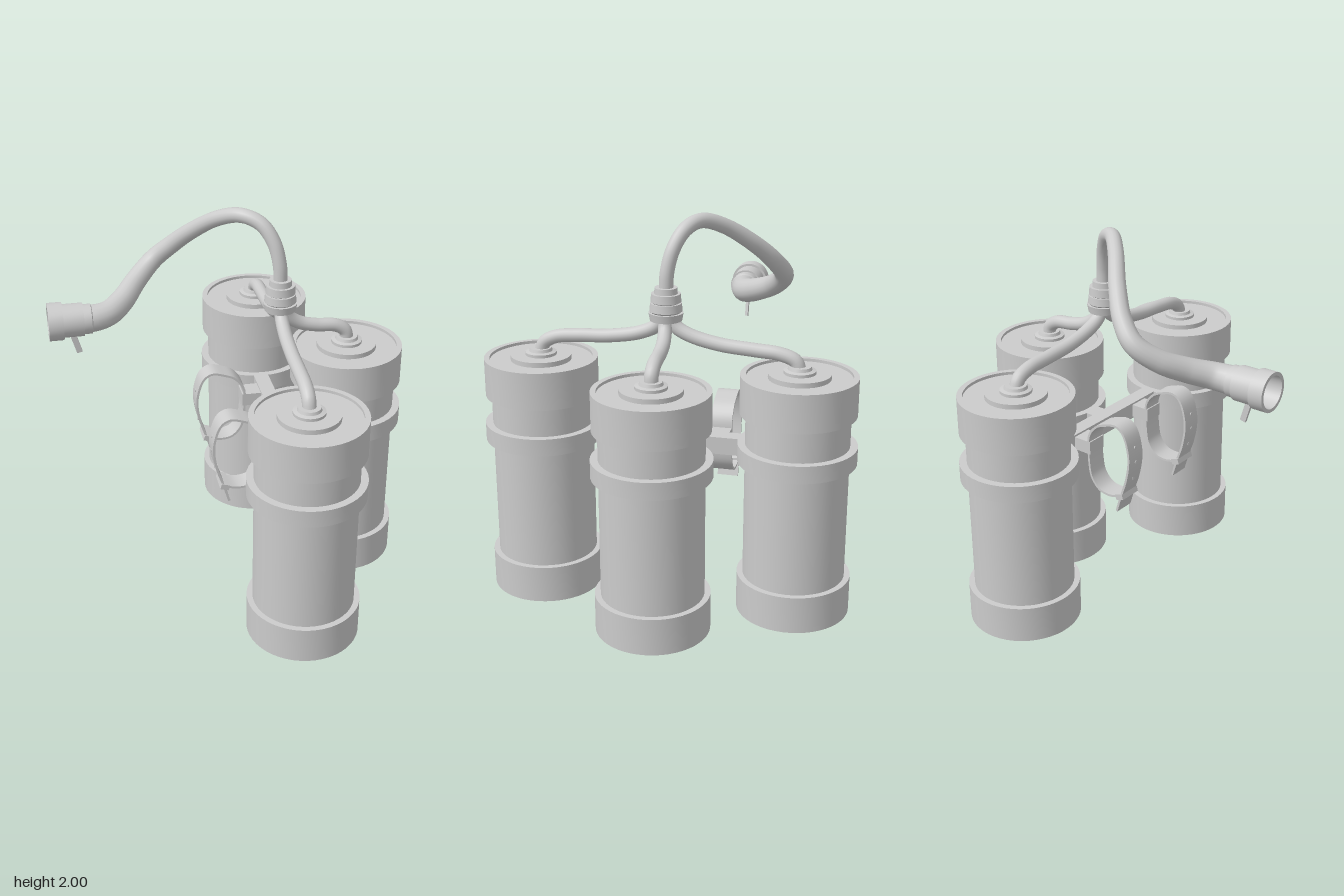
import * as THREE from 'three';
import { toCreasedNormals } from 'three/addons/utils/BufferGeometryUtils.js';

const material = new THREE.MeshStandardMaterial({ color: 0xcccccc });
const doubleSided = new THREE.MeshStandardMaterial({ color: 0xcccccc, side: THREE.DoubleSide });

function add(parent, name, geometry, x = 0, y = 0, z = 0, mat = material) {
  const mesh = new THREE.Mesh(geometry, mat);
  mesh.name = name;
  mesh.position.set(x, y, z);
  parent.add(mesh);
  return mesh;
}

const vec2 = (pts) => pts.map(([x, y]) => new THREE.Vector2(x, y));
const vec3 = (pts) => pts.map((p) => new THREE.Vector3(...p));

// Turned part with sharp profile corners and a smooth round surface
const turned = (pts, sides = 48) => toCreasedNormals(new THREE.LatheGeometry(vec2(pts), sides), 0.5);

// Tube along a curve whose radius follows a rule
function hose(pts, radiusAt, segments) {
  const path = new THREE.CatmullRomCurve3(vec3(pts));
  const sides = 16;
  const geo = new THREE.TubeGeometry(path, segments, 1, sides, false);
  const pos = geo.attributes.position;
  const v = new THREE.Vector3();
  for (let i = 0; i <= segments; i++) {
    const centre = path.getPointAt(i / segments);
    const r = radiusAt(i / segments);
    for (let j = 0; j <= sides; j++) {
      const k = i * (sides + 1) + j;
      v.fromBufferAttribute(pos, k).sub(centre).multiplyScalar(r).add(centre);
      pos.setXYZ(k, v.x, v.y, v.z);
    }
  }
  return geo;
}

// Flat band that follows a curve in the xy plane, with its width along z
function ribbon(pts, thickness, width, steps) {
  const curve = new THREE.SplineCurve(vec2(pts));
  const outer = [], inner = [];
  for (let i = 0; i <= steps; i++) {
    const p = curve.getPoint(i / steps), t = curve.getTangent(i / steps);
    const n = new THREE.Vector2(-t.y, t.x).multiplyScalar(thickness / 2);
    outer.push(p.clone().add(n));
    inner.unshift(p.clone().sub(n));
  }
  const geo = new THREE.ExtrudeGeometry(new THREE.Shape([...outer, ...inner]), { depth: width, bevelEnabled: false });
  return toCreasedNormals(geo.translate(0, 0, -width / 2), 0.6);
}

// Canister: body, end caps with raised rims, stepped lid and clamp band
function canister(name, x, z, lift) {
  const g = new THREE.Group();
  g.name = name;
  g.position.set(x, lift, z);
  add(g, 'canisterBody', turned([[0.26, 0.19], [0.26, 1.07]]));
  add(g, 'bottomCap', turned([[0, 0.02], [0.265, 0.02], [0.265, 0], [0.29, 0], [0.29, 0.195], [0.255, 0.195]]));
  add(g, 'topCap', turned([[0.255, 1.065], [0.29, 1.065], [0.29, 1.26], [0.262, 1.26], [0.262, 1.245],
    [0.155, 1.245], [0.155, 1.27], [0, 1.27]]));
  add(g, 'hoseCollar', turned([[0.08, 1.265], [0.08, 1.285], [0.06, 1.29], [0.055, 1.305], [0, 1.305]], 32));
  add(g, 'clampBand', turned([[0.255, 0.825], [0.298, 0.825], [0.298, 0.915], [0.255, 0.915]]), 0, -lift, 0);
  return g;
}

export function createModel() {
  const model = new THREE.Group();
  model.name = 'canisterRig';

  // Three canisters
  model.add(canister('frontCanister', 0.235, 0.667, 0));
  model.add(canister('leftCanister', 0.61, -0.015, 0));
  model.add(canister('backCanister', 0.257, -0.667, 0.012));

  // Frame joining the clamp bands
  add(model, 'crossBar', new THREE.BoxGeometry(0.08, 0.09, 0.78), 0.237, 0.87, 0);
  add(model, 'sideLink', new THREE.BoxGeometry(0.09, 0.09, 0.1), 0.305, 0.87, -0.015);

  // Shoulder straps with arm, buckle, tail and studs
  for (const [name, z] of [['frontStrap', 0.236], ['backStrap', -0.252]]) {
    const strap = new THREE.Group();
    strap.name = name;
    strap.position.z = z;
    model.add(strap);
    add(strap, 'strapArm', new THREE.BoxGeometry(0.12, 0.07, 0.11), 0.155, 0.87, 0);
    add(strap, 'strapLoop', ribbon([[0.105, 0.8], [0.105, 0.93], [0.06, 1.0], [0, 1.03], [-0.07, 1.045], [-0.12, 1.01],
      [-0.148, 0.93], [-0.153, 0.85], [-0.135, 0.75], [-0.105, 0.66], [-0.075, 0.56]], 0.012, 0.11, 50));
    add(strap, 'strapReturn', ribbon([[-0.1, 0.655], [-0.03, 0.637], [0.04, 0.65], [0.09, 0.71], [0.105, 0.8]],
      0.012, 0.11, 20));
    const buckle = add(strap, 'buckle', new THREE.BoxGeometry(0.045, 0.03, 0.125), -0.098, 0.652, 0);
    buckle.rotation.z = -0.3;
    for (const [x, y] of [[-0.148, 0.93], [-0.153, 0.85], [-0.135, 0.75]]) {
      const stud = add(strap, 'stud', new THREE.CylinderGeometry(0.009, 0.009, 0.018, 10), x, y, 0);
      stud.rotation.z = Math.PI / 2;
    }
  }

  // Branch hoses from the lids to the manifold
  const thin = () => 0.035;
  add(model, 'frontBranchHose', hose([[0.235, 1.28, 0.667], [0.235, 1.335, 0.645], [0.235, 1.37, 0.58], [0.235, 1.385, 0.46],
    [0.237, 1.395, 0.3], [0.24, 1.425, 0.14], [0.243, 1.47, 0.05], [0.245, 1.53, 0.015]], thin, 48), 0, 0, 0, doubleSided);
  add(model, 'backBranchHose', hose([[0.257, 1.29, -0.667], [0.257, 1.34, -0.645], [0.257, 1.37, -0.57], [0.255, 1.38, -0.45],
    [0.252, 1.395, -0.27], [0.25, 1.43, -0.12], [0.247, 1.47, -0.045], [0.245, 1.53, -0.005]], thin, 48), 0, 0, 0, doubleSided);
  add(model, 'leftBranchHose', hose([[0.61, 1.28, -0.015], [0.6, 1.335, -0.015], [0.55, 1.37, -0.015], [0.44, 1.385, -0.012],
    [0.35, 1.41, -0.008], [0.285, 1.46, 0], [0.255, 1.53, 0.005]], thin, 36), 0, 0, 0, doubleSided);

  // Stepped manifold
  add(model, 'manifold', turned([[0, 1.505], [0.07, 1.505], [0.08, 1.5], [0.087, 1.54], [0.073, 1.54], [0.082, 1.548], [0.078, 1.588],
    [0.066, 1.588], [0.076, 1.594], [0.073, 1.635], [0.058, 1.635], [0.056, 1.665], [0.035, 1.665]], 32), 0.245, 0, 0.005);

  // Main hose, widening toward the mouthpiece
  add(model, 'mainHose', hose([[0.245, 1.64, 0.005], [0.24, 1.74, 0], [0.215, 1.85, -0.025], [0.16, 1.935, -0.07],
    [0.075, 1.965, -0.13], [-0.02, 1.925, -0.225], [-0.14, 1.81, -0.365], [-0.24, 1.7, -0.455], [-0.33, 1.615, -0.485],
    [-0.43, 1.535, -0.42], [-0.52, 1.475, -0.31], [-0.6, 1.445, -0.235], [-0.66, 1.437, -0.213], [-0.72, 1.435, -0.208]],
  (t) => 0.036 + 0.036 * t ** 2.2, 110), 0, 0, 0, doubleSided);

  // Open mouthpiece with stepped rings and a release tab
  const mouthpiece = new THREE.Group();
  mouthpiece.name = 'mouthpiece';
  mouthpiece.position.set(-0.69, 1.435, -0.208);
  model.add(mouthpiece);
  const fitting = add(mouthpiece, 'mouthpieceFitting', turned([[0.068, 0], [0.077, 0.005], [0.077, 0.045], [0.086, 0.045],
    [0.086, 0.15], [0.098, 0.15], [0.098, 0.225], [0.08, 0.225], [0.075, 0.1], [0, 0.1]], 32), 0, 0, 0, doubleSided);
  fitting.rotation.z = Math.PI / 2;
  const tab = add(mouthpiece, 'releaseTab', new THREE.BoxGeometry(0.03, 0.12, 0.015), -0.09, -0.128, -0.002);
  tab.rotation.z = 0.28;

  return model;
}
